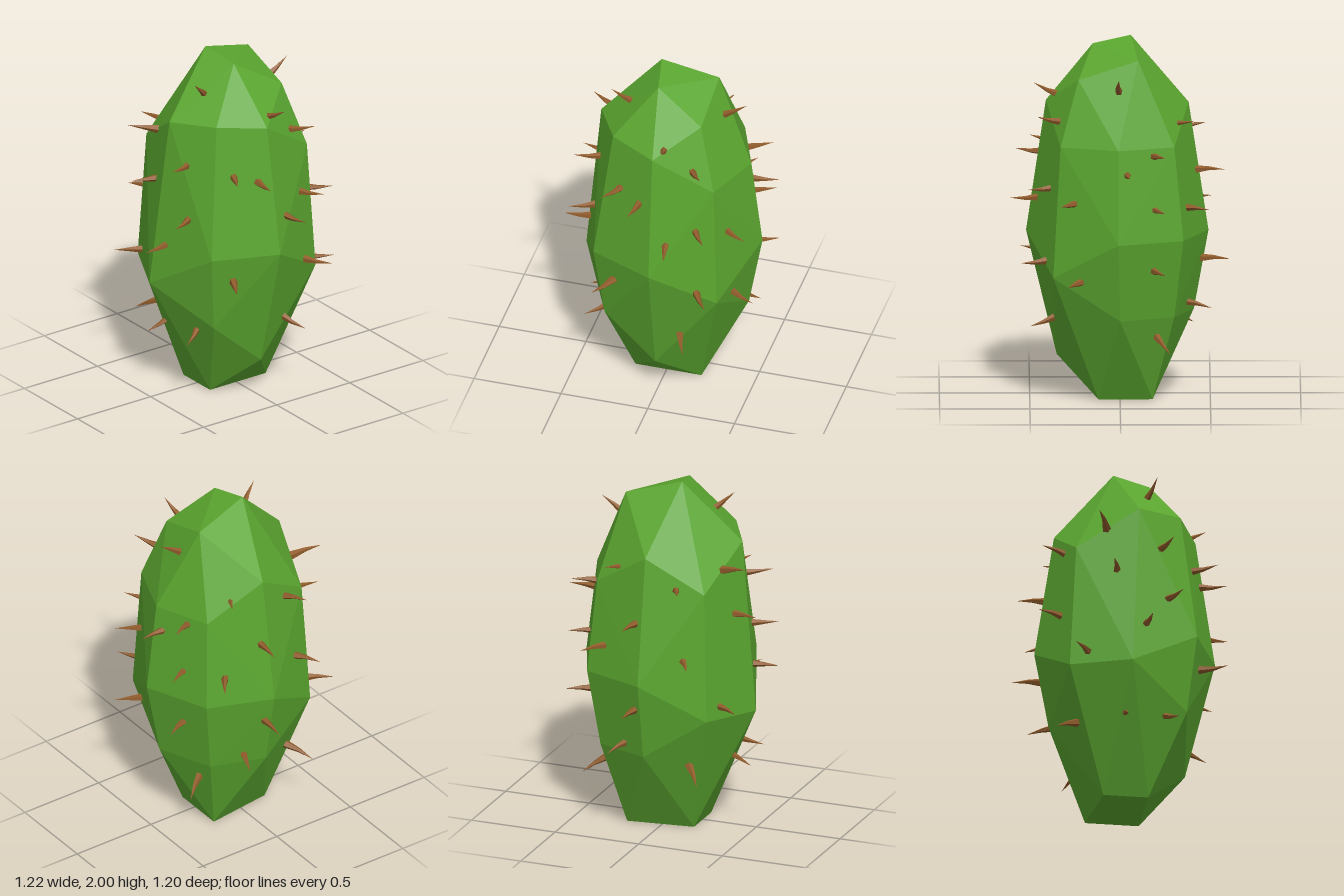
import * as THREE from 'three';
import { ConvexGeometry } from 'three/addons/geometries/ConvexGeometry.js';

const green = new THREE.MeshStandardMaterial({ color: 0x5aa52f });
green.name = 'cactusGreen';
const brown = new THREE.MeshStandardMaterial({ color: 0x915c2c });
brown.name = 'spineBrown';

// Corners of the faceted body, ring by ring from the crown to the foot
const crown = [[-0.06, 2, 0.08], [0.15, 1.96, 0.04], [0.23, 1.8, -0.23], [-0.1, 1.91, -0.24]];
const shoulder = [
  [0.04, 1.66, 0.4], [0.29, 1.68, 0.26], [0.41, 1.65, 0], [0.33, 1.44, -0.33],
  [0.01, 1.44, -0.456], [-0.3, 1.44, -0.33], [-0.38, 1.64, -0.01], [-0.3, 1.44, 0.31],
];
const waist = [
  [-0.01, 0.69, 0.5], [0.37, 0.92, 0.35], [0.52, 0.92, -0.01], [0.37, 0.71, -0.36],
  [0.01, 0.92, -0.52], [-0.35, 0.92, -0.37], [-0.49, 0.92, -0.01], [-0.34, 0.71, 0.34],
];
const foot = [
  [0.32, 0.48, 0.3], [0.35, 0.22, 0], [0, 0.48, -0.44], [-0.3, 0.48, -0.31], [-0.41, 0.48, -0.01],
  [0.12, 0, 0.18], [0.12, 0, -0.2], [-0.18, 0, -0.2], [-0.13, 0, 0.18],
];

// Tip of every spine
const tips = [
  // crown and shoulder
  [0.155, 1.9, 0.31], [0.007, 1.83, -0.43], [0.48, 1.76, -0.07], [0.46, 1.605, -0.29],
  [-0.2, 1.585, 0.515], [-0.415, 1.57, -0.24],
  // upper body
  [0.22, 1.45, 0.51], [0.5, 1.405, 0.27], [0.58, 1.36, 0.1], [-0.48, 1.485, 0.22],
  [-0.25, 1.41, -0.51], [-0.055, 1.31, -0.6], [-0.58, 1.27, -0.07], [-0.12, 1.28, 0.55],
  // middle
  [0.27, 1.125, 0.525], [-0.51, 1.06, 0.29], [0.61, 1.12, -0.12], [0.51, 1.2, -0.32],
  [0.33, 1.135, -0.51], [-0.5, 1.09, -0.35], [-0.25, 1.1, -0.53], [0.09, 0.935, 0.6],
  // lower body
  [-0.61, 0.765, -0.06], [-0.33, 0.775, 0.51], [0.55, 0.775, 0.31], [0.55, 0.79, -0.34],
  [0.29, 0.69, -0.545], [-0.25, 0.755, -0.545],
  // near the foot
  [-0.51, 0.51, -0.185], [-0.41, 0.345, 0.31], [-0.05, 0.375, 0.49], [0.26, 0.39, 0.44],
  [0.5, 0.41, -0.2], [-0.28, 0.29, -0.43],
];

// Five-sided spine, tip at the origin, pointing along +y with a slight bend
function spineGeometry(length) {
  const cone = new THREE.ConeGeometry(0.025, length, 5, 2).translate(0, -length / 2, 0);
  const p = cone.attributes.position;
  for (let i = 0; i < p.count; i++) {
    if (Math.abs(p.getY(i) + length / 2) < 0.001) p.setX(i, p.getX(i) + 0.006);
  }
  const flat = cone.toNonIndexed();
  flat.computeVertexNormals();
  return flat;
}

export function createModel() {
  const model = new THREE.Group();
  model.name = 'cactus';

  const points = [...crown, ...shoulder, ...waist, ...foot].map((p) => new THREE.Vector3(...p));
  const body = new THREE.Mesh(new ConvexGeometry(points), green);
  body.name = 'body';
  model.add(body);

  // Spines point outward, rising near the crown and drooping near the foot
  const spines = new THREE.Group();
  spines.name = 'spines';
  const geometry = spineGeometry(0.18);
  const up = new THREE.Vector3(0, 1, 0);
  tips.forEach(([x, y, z]) => {
    const t = y - 0.95;
    const direction = new THREE.Vector3(x, 0, z).normalize();
    direction.y = (t > 0 ? 0.95 : 2) * t ** 3;
    const spine = new THREE.Mesh(geometry, brown);
    spine.name = 'spine';
    spine.position.set(x, y, z);
    spine.quaternion.setFromUnitVectors(up, direction.normalize());
    spines.add(spine);
  });
  model.add(spines);
  return model;
}
